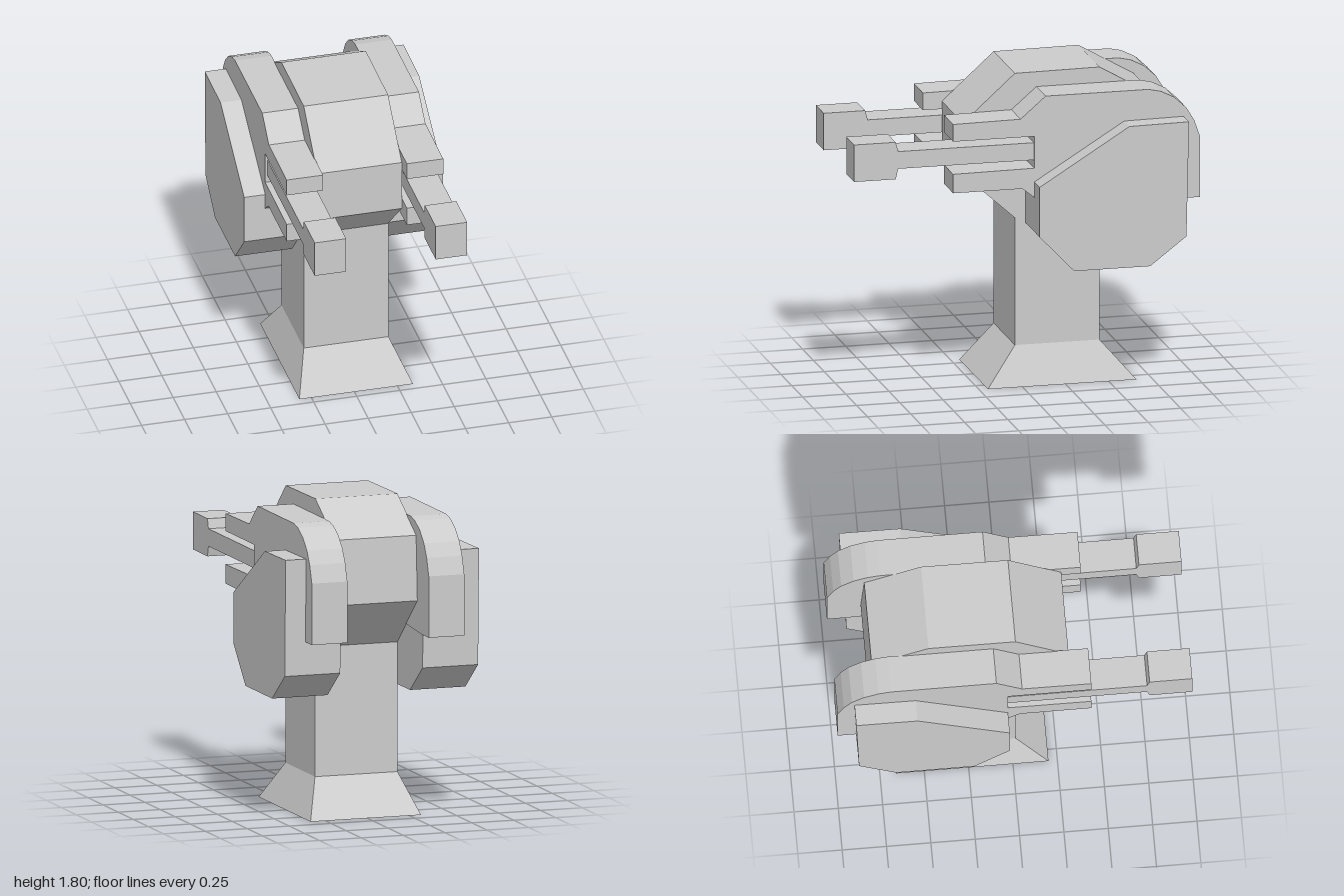
import * as THREE from 'three';

const grey = new THREE.MeshStandardMaterial({ color: 0xcccccc, flatShading: true });
const greyOpen = new THREE.MeshStandardMaterial({ color: 0xcccccc, flatShading: true, side: THREE.DoubleSide });

// Plate with a side profile of [z, y] points, spanning x0 to x1
function plate(name, profile, x0, x1) {
  const shape = new THREE.Shape(profile.map(([z, y]) => new THREE.Vector2(z, y)));
  const geo = new THREE.ExtrudeGeometry(shape, { depth: x1 - x0, bevelEnabled: false });
  geo.rotateY(-Math.PI / 2).translate(x1, 0, 0);
  const mesh = new THREE.Mesh(geo, grey);
  mesh.name = name;
  return mesh;
}

// Open rectangular tube through rings of [y, x0, x1, z0, z1]
function rectTube(name, rings) {
  const pos = [], index = [];
  for (const [y, x0, x1, z0, z1] of rings) pos.push(x0, y, z1, x1, y, z1, x1, y, z0, x0, y, z0);
  for (let r = 0; r < rings.length - 1; r++) {
    for (let i = 0; i < 4; i++) {
      const a = r * 4 + i, b = r * 4 + (i + 1) % 4;
      index.push(a, b, b + 4, a, b + 4, a + 4);
    }
  }
  let geo = new THREE.BufferGeometry();
  geo.setAttribute('position', new THREE.Float32BufferAttribute(pos, 3));
  geo.setIndex(index);
  geo = geo.toNonIndexed();
  geo.computeVertexNormals();
  const mesh = new THREE.Mesh(geo, greyOpen);
  mesh.name = name;
  return mesh;
}

const headProfile = [
  [0.02, 0.96], [0.32, 1.23], [0.32, 1.53], [0.02, 1.8], [-0.47, 1.805],
  [-0.79, 1.62], [-0.81, 1.25], [-0.47, 0.96],
];

// Forked at the front, curling down at the back
const armProfile = [
  [0.43, 1.585], [0.04, 1.59], [-0.105, 1.715], [-0.7, 1.715], [-0.77, 1.7],
  [-0.85, 1.66], [-0.92, 1.595], [-0.965, 1.52], [-1, 1.42], [-1, 1.07],
  [-0.88, 1.07], [-0.04, 1.13], [0.03, 1.185], [0.43, 1.185], [0.43, 1.295],
  [-0.04, 1.3], [-0.04, 1.485], [0.43, 1.485],
];

const podProfile = [
  [-0.04, 1.22], [-0.56, 1.54], [-0.905, 1.545], [-0.89, 0.88],
  [-0.68, 0.72], [-0.24, 0.72], [-0.04, 0.93],
];

const gunProfile = [
  [1, 1.285], [1, 1.5], [0.76, 1.5], [0.745, 1.445], [-0.06, 1.445],
  [-0.06, 1.345], [0.745, 1.345], [0.76, 1.285],
];

export function createModel() {
  const model = new THREE.Group();
  model.name = 'turret';

  // Hollow pedestal with flared foot
  model.add(rectTube('pedestal', [
    [0, -0.32, 0.34, -0.66, 0.2],
    [0.22, -0.247, 0.245, -0.47, 0.02],
    [0.97, -0.247, 0.245, -0.47, 0.02],
  ]));

  model.add(plate('head', headProfile, -0.247, 0.243));

  // Arm, side pod and gun on each side
  for (const [side, s] of [['left', 1], ['right', -1]]) {
    const part = (name, profile, a, b) =>
      model.add(plate(side + name, profile, Math.min(s * a, s * b), Math.max(s * a, s * b)));
    part('Arm', armProfile, 0.243, 0.455);
    part('Pod', podProfile, 0.246, 0.577);
    part('Gun', gunProfile, 0.26, 0.443);
  }
  return model;
}
